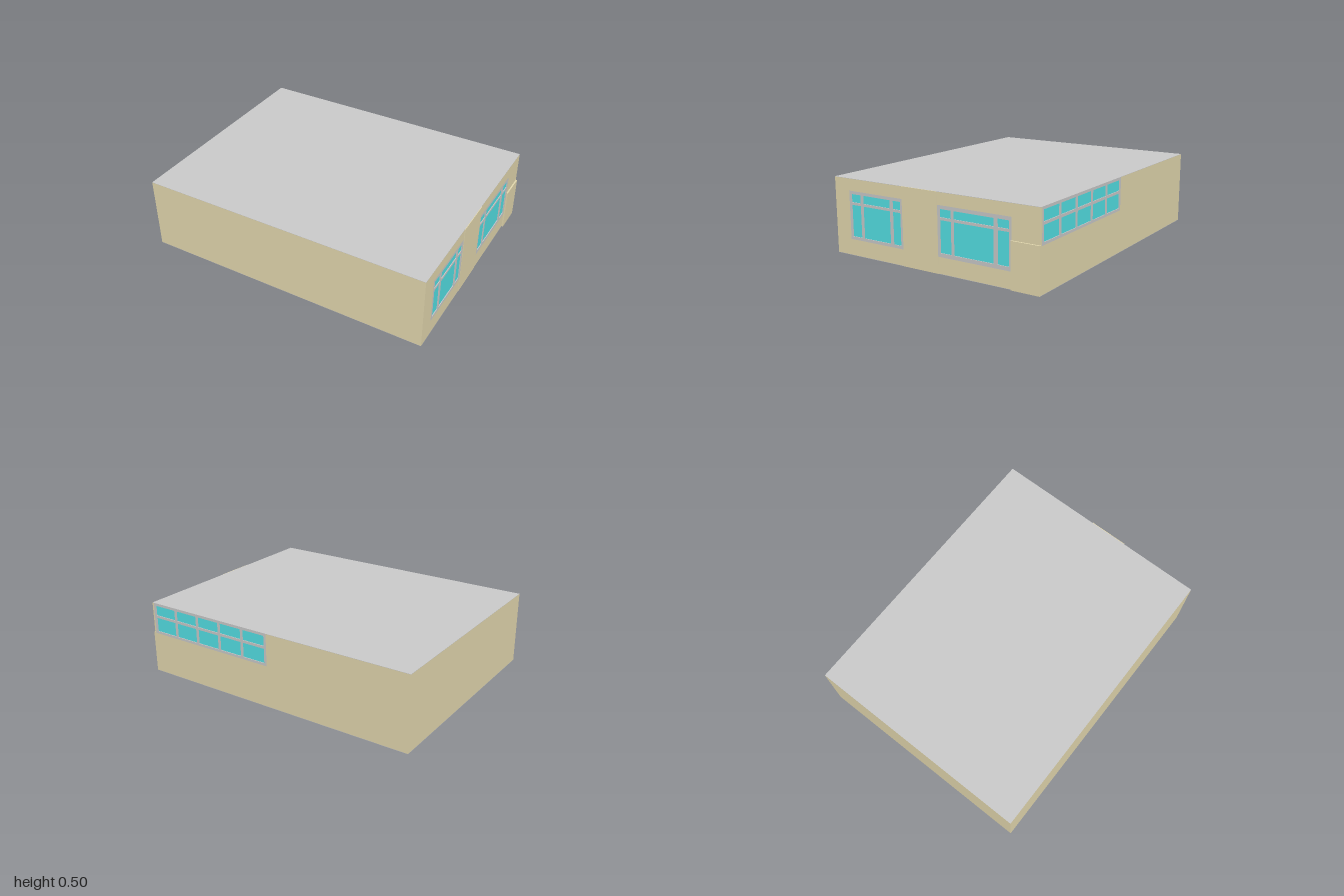
import * as THREE from 'three';

const mat = (color) => new THREE.MeshStandardMaterial({ color, side: THREE.DoubleSide });
const TAN = mat(0xe4d9af), GREY = mat(0xcccccc), GLASS = mat(0x54e2e6);
const X0 = -1, X1 = 0.99, Z0 = -0.775, Z1 = 0.77, H = 0.505, T = 0.012, SLAB = 0.002;

function add(parent, name, geometry, material) {
  const mesh = new THREE.Mesh(geometry, material);
  mesh.name = name;
  parent.add(mesh);
  return mesh;
}

// Axis-aligned box given by its limits
function block(parent, name, x0, x1, y0, y1, z0, z1, material) {
  const mesh = add(parent, name, new THREE.BoxGeometry(x1 - x0, y1 - y0, z1 - z0), material);
  mesh.position.set((x0 + x1) / 2, (y0 + y1) / 2, (z0 + z1) / 2);
}

const rect = (Type, x0, x1, y0, y1) => new Type([
  new THREE.Vector2(x0, y0), new THREE.Vector2(x1, y0),
  new THREE.Vector2(x1, y1), new THREE.Vector2(x0, y1)]);

// Plate whose outer face lies at z = 0
function plate(parent, name, shape, depth, material) {
  const geometry = new THREE.ExtrudeGeometry(shape, { depth, bevelEnabled: false });
  add(parent, name, geometry.translate(0, 0, -depth), material);
}

// Flush frame with a pane behind every column and row opening
function windowUnit(parent, name, [x0, x1, y0, y1], columns, rows) {
  const unit = new THREE.Group();
  unit.name = name;
  const shape = rect(THREE.Shape, x0, x1, y0, y1);
  for (const [a, b] of columns) for (const [c, d] of rows) {
    shape.holes.push(rect(THREE.Path, a, b, c, d));
    const pane = add(unit, 'pane', new THREE.PlaneGeometry(b - a, d - c), GLASS);
    pane.position.set((a + b) / 2, (c + d) / 2, -0.005);
  }
  plate(unit, 'windowFrame', shape, 0.01, GREY);
  parent.add(unit);
}

export function createModel() {
  const building = new THREE.Group();
  building.name = 'building';

  // Floor, roof and the two plain walls
  block(building, 'floor', X0, X1, 0, SLAB, Z0, Z1, GREY);
  block(building, 'roof', X0, X1, H - SLAB, H, Z0, Z1, GREY);
  block(building, 'frontWall', X0, X1, SLAB, H - SLAB, Z1 - T, Z1, TAN);
  block(building, 'leftWall', X0, X0 + T, SLAB, H - SLAB, Z0 + T, Z1 - T, TAN);

  // Side wall with two large windows, drawn with local x = -z
  const side = new THREE.Group();
  side.name = 'windowWall';
  side.rotation.y = Math.PI / 2;
  side.position.x = X1;
  building.add(side);
  const sideShape = rect(THREE.Shape, -Z1 + T, -Z0, SLAB, H - SLAB);
  const units = [
    { name: 'frontWindow', box: [-0.65, -0.21, 0.107, 0.425],
      columns: [[-0.632, -0.555], [-0.535, -0.312], [-0.29, -0.228]],
      rows: [[0.127, 0.335], [0.352, 0.405]] },
    { name: 'rearWindow', box: [0.06, 0.583, 0.107, 0.425],
      columns: [[0.078, 0.16], [0.178, 0.462], [0.488, 0.566]],
      rows: [[0.132, 0.335], [0.352, 0.402]] },
  ];
  for (const { name, box, columns, rows } of units) {
    sideShape.holes.push(rect(THREE.Path, ...box));
    windowUnit(side, name, box, columns, rows);
  }
  plate(side, 'sideWall', sideShape, T, TAN);

  // Slightly raised panels between the windows and at the rear corner
  block(building, 'lowerCentrePanel', X1, X1 + 0.002, 0, 0.285, -0.06, 0.21, TAN);
  block(building, 'upperCentrePanel', X1, X1 + 0.004, 0.285, H, -0.06, 0.21, TAN);
  block(building, 'cornerPanel', X1, 1, 0, 0.29, Z0, -0.583, TAN);

  // Back wall with a five-bay strip window under the roof, local x = -x
  const back = new THREE.Group();
  back.name = 'backWall';
  back.rotation.y = Math.PI;
  back.position.z = Z0;
  building.add(back);
  const w0 = -X1 + T, w1 = -0.015, sill = 0.285, top = H - SLAB;
  const outline = [[w0, SLAB], [-X0, SLAB], [-X0, top], [w1, top], [w1, sill], [w0, sill]];
  const backShape = new THREE.Shape(outline.map((p) => new THREE.Vector2(...p)));
  plate(back, 'backWallPanel', backShape, T, TAN);
  const bays = [], bar = 0.018, pitch = (w1 - w0 - bar) / 5;
  for (let i = 0; i < 5; i++) bays.push([w0 + bar + i * pitch, w0 + (i + 1) * pitch]);
  windowUnit(back, 'stripWindow', [w0, w1, sill, top], bays, [[0.302, 0.4], [0.418, 0.487]]);

  return building;
}
